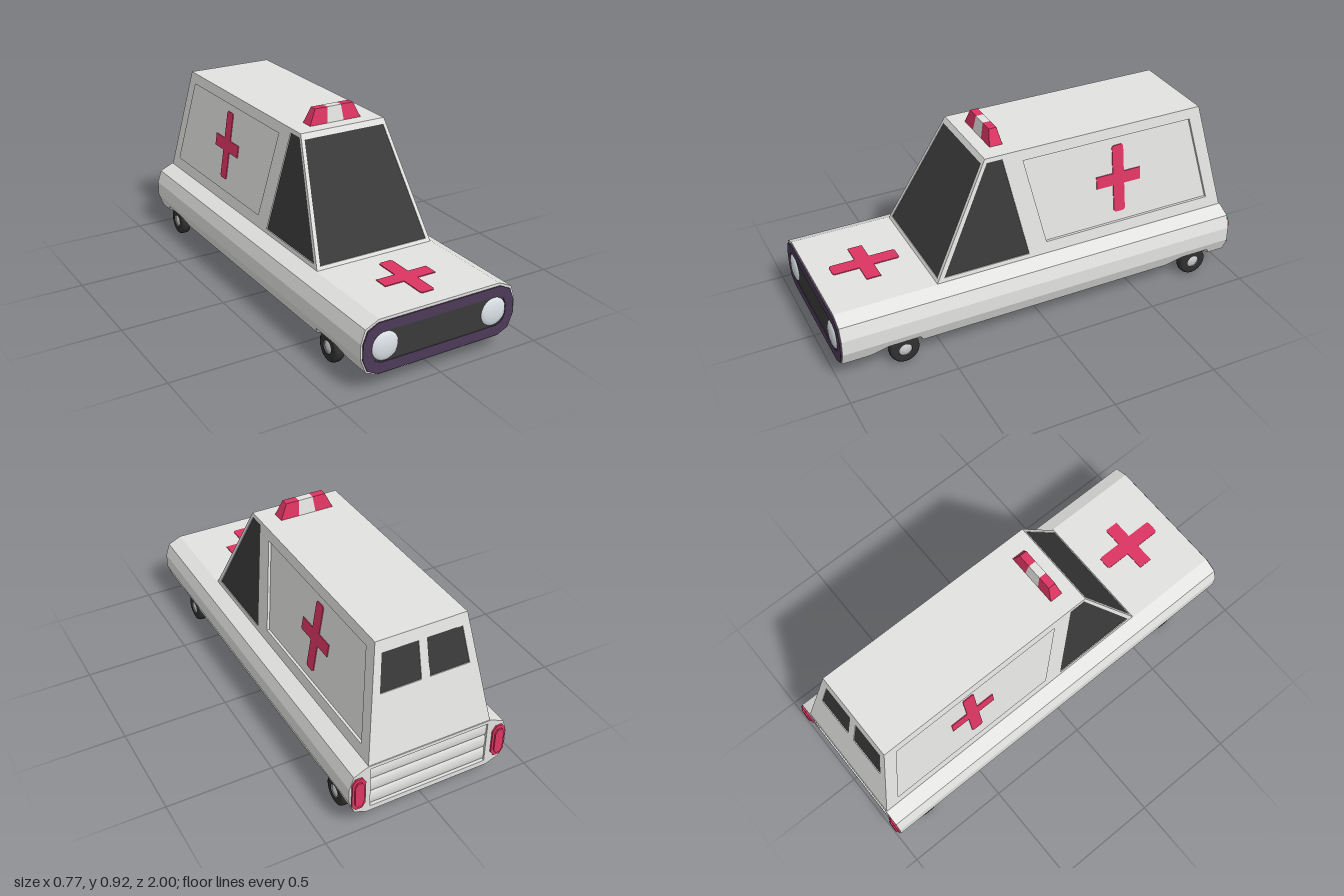
import * as THREE from 'three';

const paint = (color) => new THREE.MeshStandardMaterial({ color });

export function createModel() {
  const white = paint(0xe2e2e0); white.name = 'white paint';
  const glass = paint(0x3a3a3a); glass.name = 'dark glass';
  const red = paint(0xdc3562); red.name = 'signal red';
  const purple = paint(0x4d3a57); purple.name = 'purple trim';
  const rubber = paint(0x303030); rubber.name = 'tyre rubber';
  const lamp = paint(0xe0e7ec); lamp.name = 'lamp glass';
  const chrome = paint(0xc9cbcc); chrome.name = 'hub metal';

  const model = new THREE.Group();
  model.name = 'ambulance';
  const add = (name, geometry, material, x = 0, y = 0, z = 0) => {
    const mesh = new THREE.Mesh(geometry, material);
    mesh.name = name;
    mesh.position.set(x, y, z);
    model.add(mesh);
    return mesh;
  };

  // Extruded outline with holes, ending at height "top" on its local z axis
  const plate = (pts, holes, top, depth) => {
    const toVec = (list) => list.map(([x, y]) => new THREE.Vector2(x, y));
    const shape = new THREE.Shape(toVec(pts));
    for (const h of holes) shape.holes.push(new THREE.Path(toVec(h)));
    return new THREE.ExtrudeGeometry(shape, { depth, bevelEnabled: false }).translate(0, 0, top - depth);
  };

  // Box with separate bottom and top rectangles [x0, x1, z0, z1]
  const taper = (b, y0, t, y1) => {
    const g = new THREE.BoxGeometry(1, 1, 1).toNonIndexed();
    const p = g.attributes.position;
    for (let i = 0; i < p.count; i++) {
      const r = p.getY(i) > 0 ? t : b;
      p.setXYZ(i, r[p.getX(i) > 0 ? 1 : 0], p.getY(i) > 0 ? y1 : y0, r[p.getZ(i) > 0 ? 3 : 2]);
    }
    g.computeVertexNormals();
    return g;
  };

  const cross = (cx, cy, w, h, t) => [
    [t, t], [t, h - 0.008], [t - 0.008, h], [0.008 - t, h], [-t, h - 0.008], [-t, t],
    [-w, t], [-w, -t], [-t, -t], [-t, 0.008 - h], [0.008 - t, -h], [t - 0.008, -h],
    [t, 0.008 - h], [t, -t], [w, -t], [w, t],
  ].map(([x, y]) => [x + cx, y + cy]);

  // Lower body: section whose lower corner is cut away up to height h
  const edgeX = (y) => (y < 0.1 ? 0.30 + (y - 0.075) * 2.4 : 0.36 + (y - 0.1) * 0.385);
  const section = (h) => {
    const k = Math.max(0.1, h);
    const half = [[0.30, 0.075], [0.30, h], [edgeX(h), h], [edgeX(k), k],
      [0.385, 0.165], [0.385, 0.235], [0.365, 0.295], [0.30, 0.325]];
    return half.concat(half.slice().reverse().map(([x, y]) => [-x, y]));
  };
  const stations = [[0.982, 0], [0.85, 0], [0.77, 1], [0.62, 1], [0.605, 0],
    [-0.655, 0], [-0.735, 1], [-0.885, 1], [-0.90, 0], [-0.965, 0]];
  const n = 16, verts = [], index = [];
  stations.forEach(([z, cut], s) => {
    for (const [x, y] of section(cut ? 0.128 : 0.075)) verts.push(x, y, z);
    if (!s) return;
    for (let i = 0; i < n; i++) {
      const j = (i + 1) % n, f = (s - 1) * n, b = s * n;
      index.push(f + i, b + i, f + j, f + j, b + i, b + j);
    }
  });
  const last = (stations.length - 1) * n;
  for (let i = 1; i < n - 1; i++) index.push(0, i, i + 1, last, last + i + 1, last + i);
  const indexed = new THREE.BufferGeometry();
  indexed.setAttribute('position', new THREE.Float32BufferAttribute(verts, 3));
  indexed.setIndex(index);
  const body = indexed.toNonIndexed();
  body.computeVertexNormals();
  add('lowerBody', body, white);

  // Nose: trim ring, grille and headlights
  const oval = (w, y0, y1, c) => [[w - 2 * c, y0], [w - 0.6 * c, y0 + 0.7 * c], [w, y0 + 2.2 * c],
    [w, y1 - 2.2 * c], [w - 0.6 * c, y1 - 0.7 * c], [w - 2 * c, y1]];
  const mirrorX = (half) => half.concat(half.slice().reverse().map(([x, y]) => [-x, y]));
  const grille = mirrorX(oval(0.335, 0.13, 0.268, 0.022));
  add('noseTrim', plate(mirrorX(oval(0.377, 0.082, 0.312, 0.036)), [grille], 0.988, 0.008), purple);
  add('grille', plate(grille, [], 0.985, 0.006), glass);
  for (const s of [-1, 1]) {
    const light = new THREE.SphereGeometry(0.066, 14, 10).scale(1, 1, 0.27);
    add('headlight', light, lamp, s * 0.272, 0.2, 0.982);
  }

  // Tail: frame, ribbed tailgate and rear lights
  const gate = [[-0.285, 0.1], [0.285, 0.1], [0.285, 0.308], [-0.285, 0.308]];
  add('tailFrame', plate(section(0.075).filter((p, i) => ![1, 2, 13, 14].includes(i)), [gate], -0.965, 0.02), white);
  for (let i = 0; i < 3; i++) {
    const rib = new THREE.CylinderGeometry(0.036, 0.036, 0.57, 16).rotateZ(Math.PI / 2).scale(1, 1, 0.3);
    add('tailgateRib', rib, white, 0, 0.135 + i * 0.069, -0.967);
  }
  const rearLamp = (w, h) => [[-w / 2, -h], [w / 2, -h], [w, -h * 0.7], [w, h * 0.7],
    [w / 2, h], [-w / 2, h], [-w, h * 0.7], [-w, -h * 0.7]];
  for (const s of [-1, 1]) {
    add('rearLight', plate(rearLamp(0.032, 0.082), [], 0, 0.01), red, s * 0.343, 0.2, -0.983);
    add('rearLightLens', plate(rearLamp(0.021, 0.065), [], 0, 0.008), red, s * 0.343, 0.2, -0.992);
  }

  // Cabin: slopes of the walls, sheared so outlines keep plain coordinates
  const ms = 0.08 / 0.515, mf = 0.27 / 0.515, mb = 0.115 / 0.515;
  const sideX = (y) => 0.295 - (y - 0.33) * ms;
  const frontZ = (y) => 0.50 - (y - 0.33) * mf;
  const backZ = (y) => -0.98 + (y - 0.33) * mb;
  const wall = (u, v, w, o) => new THREE.Matrix4().makeBasis(
    new THREE.Vector3(...u), new THREE.Vector3(...v), new THREE.Vector3(...w)).setPosition(...o);
  const y0 = 0.32, y1 = 0.845, t = 0.012;
  const rect = (y) => [-sideX(y) + t, sideX(y) - t, backZ(y) + t, frontZ(y) - t];
  add('cabinCore', taper(rect(y0), y0, rect(y1), y1), white);
  const endWall = [[-sideX(y0), y0], [sideX(y0), y0], [sideX(y1), y1], [-sideX(y1), y1]];

  // Windscreen wall
  const front = wall([1, 0, 0], [0, 1, -mf], [0, 0, 1], [0, 0, frontZ(0)]);
  const screen = [[-0.276, 0.34], [0.276, 0.34], [0.203, 0.82], [-0.203, 0.82]];
  add('frontWall', plate(endWall, [screen], 0, t).applyMatrix4(front), white);
  add('windscreen', plate(screen, [], -0.003, 0.008).applyMatrix4(front), glass);

  // Rear wall with two windows
  const back = wall([-1, 0, 0], [0, 1, mb], [0, 0, -1], [0, 0, backZ(0)]);
  const rearWindows = [-1, 1].map((s) =>
    [[0.02, 0.62], [0.212, 0.62], [0.188, 0.79], [0.02, 0.79]].map(([x, y]) => [s * x, y]));
  add('rearWall', plate(endWall, rearWindows, 0, t).applyMatrix4(back), white);
  for (const w of rearWindows) add('rearWindow', plate(w, [], -0.004, 0.007).applyMatrix4(back), glass);

  // Side walls with window, recessed panel and cross
  for (const s of [-1, 1]) {
    const side = wall([0, 0, -s], [-s * ms, 1, 0], [s, 0, 0], [s * sideX(0), 0, 0]);
    const zy = (pts) => pts.map(([z, y]) => [-s * z, y]);
    const outline = zy([[frontZ(y0), y0], [backZ(y0), y0], [backZ(y1), y1], [frontZ(y1), y1]]);
    const win = zy([[0.468, 0.345], [0.05, 0.345], [0.148, 0.825], [0.222, 0.825]]);
    const panel = zy([[0.05, 0.795], [-0.04, 0.38], [-0.905, 0.38], [-0.812, 0.795]]);
    add('sideWall', plate(outline, [win, panel], 0, t).applyMatrix4(side), white);
    add('sideWindow', plate(win, [], -0.004, 0.007).applyMatrix4(side), glass);
    add('sideCross', plate(zy(cross(-0.43, 0.59, 0.115, 0.163, 0.029)), [], -0.008, 0.005).applyMatrix4(side), red);
  }

  // Bonnet cross
  add('bonnetCross', plate(cross(0, -0.735, 0.128, 0.157, 0.034), [], 0.004, 0.006).rotateX(-Math.PI / 2),
    red, 0, 0.325, 0);

  // Roof beacon: red, white, red
  const beacon = [[-0.132, -0.043, -0.098, -0.035], [-0.043, 0.043, -0.035, 0.035], [0.043, 0.132, 0.035, 0.098]];
  beacon.forEach(([a, b, c, d], i) => add(i === 1 ? 'beaconCentre' : 'beaconLight',
    taper([a, b, 0.105, 0.168], 0.843, [c, d, 0.118, 0.155], 0.916), i === 1 ? white : red));

  // Wheels: rounded tyre with domed hub
  const profile = [[0.03, -0.024], [0.056, -0.024], [0.066, -0.02], [0.07, -0.01],
    [0.07, 0.01], [0.066, 0.02], [0.056, 0.024], [0.03, 0.024]].map(([r, h]) => new THREE.Vector2(r, h));
  for (const s of [-1, 1]) {
    for (const z of [0.69, -0.815]) {
      add('tyre', new THREE.LatheGeometry(profile, 20).rotateZ(Math.PI / 2), rubber, s * 0.335, 0.07, z);
      add('hub', new THREE.SphereGeometry(0.042, 14, 10).scale(0.66, 1, 1), chrome, s * 0.335, 0.07, z);
    }
  }
  return model;
}
